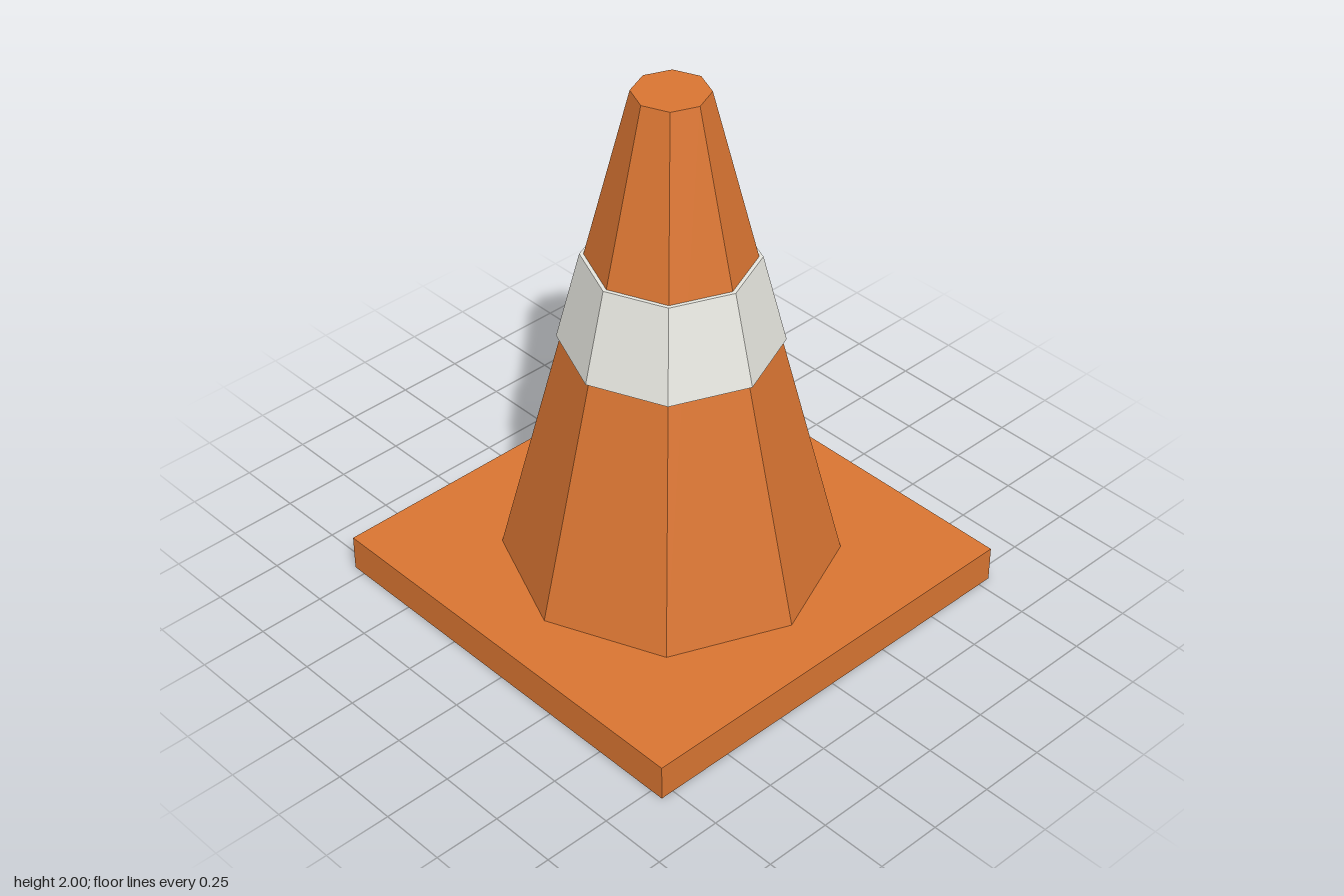
import * as THREE from 'three';

const SIDES = 8;

export function createModel() {
  const model = new THREE.Group();
  model.name = 'trafficCone';

  const orange = new THREE.MeshStandardMaterial({ color: 0xd97532 });
  orange.name = 'orange';
  orange.flatShading = true;
  const white = new THREE.MeshStandardMaterial({ color: 0xe6e6df });
  white.name = 'reflectiveWhite';
  white.flatShading = true;

  function add(name, geometry, material, y) {
    const mesh = new THREE.Mesh(geometry, material);
    mesh.name = name;
    mesh.position.y = y;
    model.add(mesh);
  }

  // Eight-sided tapered section between two heights, corners on the axes
  function addTaper(name, y0, r0, y1, r1, material) {
    add(name, new THREE.CylinderGeometry(r1, r0, y1 - y0, SIDES), material, (y0 + y1) / 2);
  }

  // Square foot plate
  const baseHeight = 0.136;
  add('base', new THREE.BoxGeometry(1.6, baseHeight, 1.6), orange, baseHeight / 2);

  // Cone body with a flat closed tip
  addTaper('coneBody', baseHeight, 0.6, 2, 0.132, orange);

  // Raised reflective band, with thin rims standing proud of the cone
  addTaper('reflectiveBand', 1.037, 0.388, 1.371, 0.304, white);

  return model;
}
